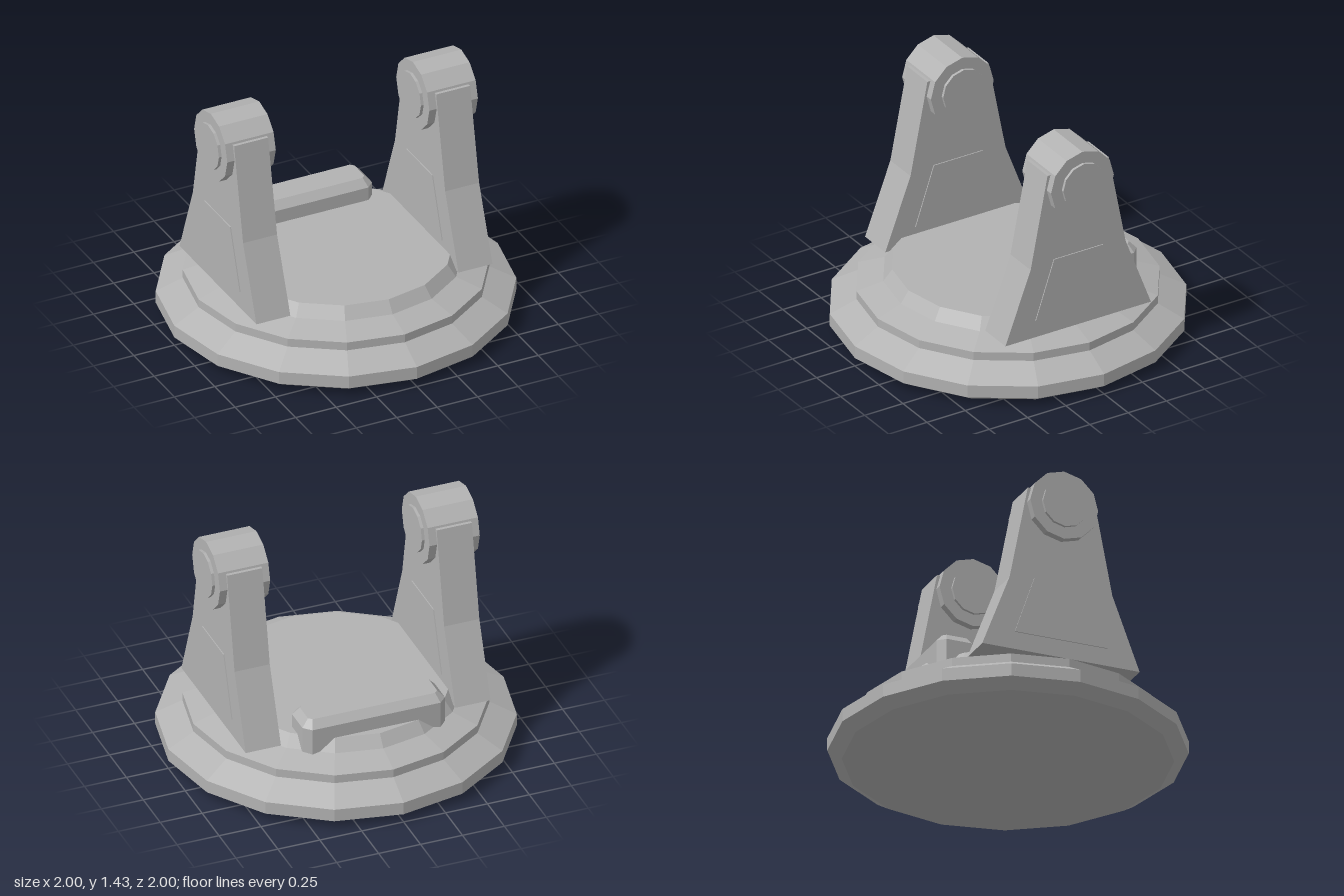
import * as THREE from 'three';

const grey = new THREE.MeshStandardMaterial({ color: 0xb2b2b2 });

// Faceted mesh: every face gets its own flat normal
function part(name, geometry, parent) {
  const g = geometry.index ? geometry.toNonIndexed() : geometry;
  g.computeVertexNormals();
  const mesh = new THREE.Mesh(g, grey);
  mesh.name = name;
  parent.add(mesh);
  return mesh;
}

const toShape = (pts) => new THREE.Shape(pts.map(([x, y]) => new THREE.Vector2(x, y)));

// Slab with a side outline mirrored front to back, thickness running along x
function sideSlab(halfOutline, width) {
  const mirrored = halfOutline.map(([z, y]) => [-z, y]).reverse();
  const g = new THREE.ExtrudeGeometry(toShape([...halfOutline, ...mirrored]), { depth: width, bevelEnabled: false });
  return g.translate(0, 0, -width / 2).rotateY(Math.PI / 2);
}

// Twelve-sided drum lying along x
const drum = (radius, width) => new THREE.CylinderGeometry(radius, radius, width, 12).rotateZ(Math.PI / 2);

function createArm(name, x) {
  const arm = new THREE.Group();
  arm.name = name;
  arm.position.x = x;
  const width = 0.21;
  part('armBody', sideSlab([[0.475, 0.315], [0.31, 0.75], [0.2, 1.315]], width), arm);
  // Thin raised panels on both faces
  for (const side of [-1, 1]) {
    const panel = part('armPanel', sideSlab([[0.28, 0.42], [0.16, 0.775]], 0.006), arm);
    panel.position.x = side * (width / 2 + 0.003);
  }
  // Pivot drum and its end caps
  part('pivotDrum', drum(0.205, 0.3), arm).position.y = 1.225;
  for (const side of [-1, 1]) {
    part('pivotCap', drum(0.135, 0.02), arm).position.set(side * 0.157, 1.225, 0);
  }
  return arm;
}

export function createModel() {
  const model = new THREE.Group();
  model.name = 'pivotStand';

  // Stepped sixteen-sided base
  const profile = [
    [0, 0], [0.92, 0], [1, 0.05], [1, 0.125], [0.85, 0.205],
    [0.85, 0.255], [0.7, 0.305], [0.65, 0.375], [0, 0.375],
  ].map(([r, y]) => new THREE.Vector2(r, y));
  part('base', new THREE.LatheGeometry(profile, 16), model);

  // Two upright arms
  model.add(createArm('leftArm', 0.625), createArm('rightArm', -0.625));

  // Bevelled bar at the back of the platform, sunk into the base
  const w = 0.385, d = 0.08, c = 0.02;
  const outline = [
    [w, -d + c], [w, d - c], [w - c, d], [-w + c, d],
    [-w, d - c], [-w, -d + c], [-w + c, -d], [w - c, -d],
  ];
  const bar = new THREE.ExtrudeGeometry(toShape(outline), {
    depth: 0.215, bevelEnabled: true, bevelSegments: 1, bevelSize: 0.04, bevelThickness: 0.045,
  });
  bar.rotateX(-Math.PI / 2);
  part('backBar', bar, model).position.set(0, 0.24, -0.48);

  return model;
}
